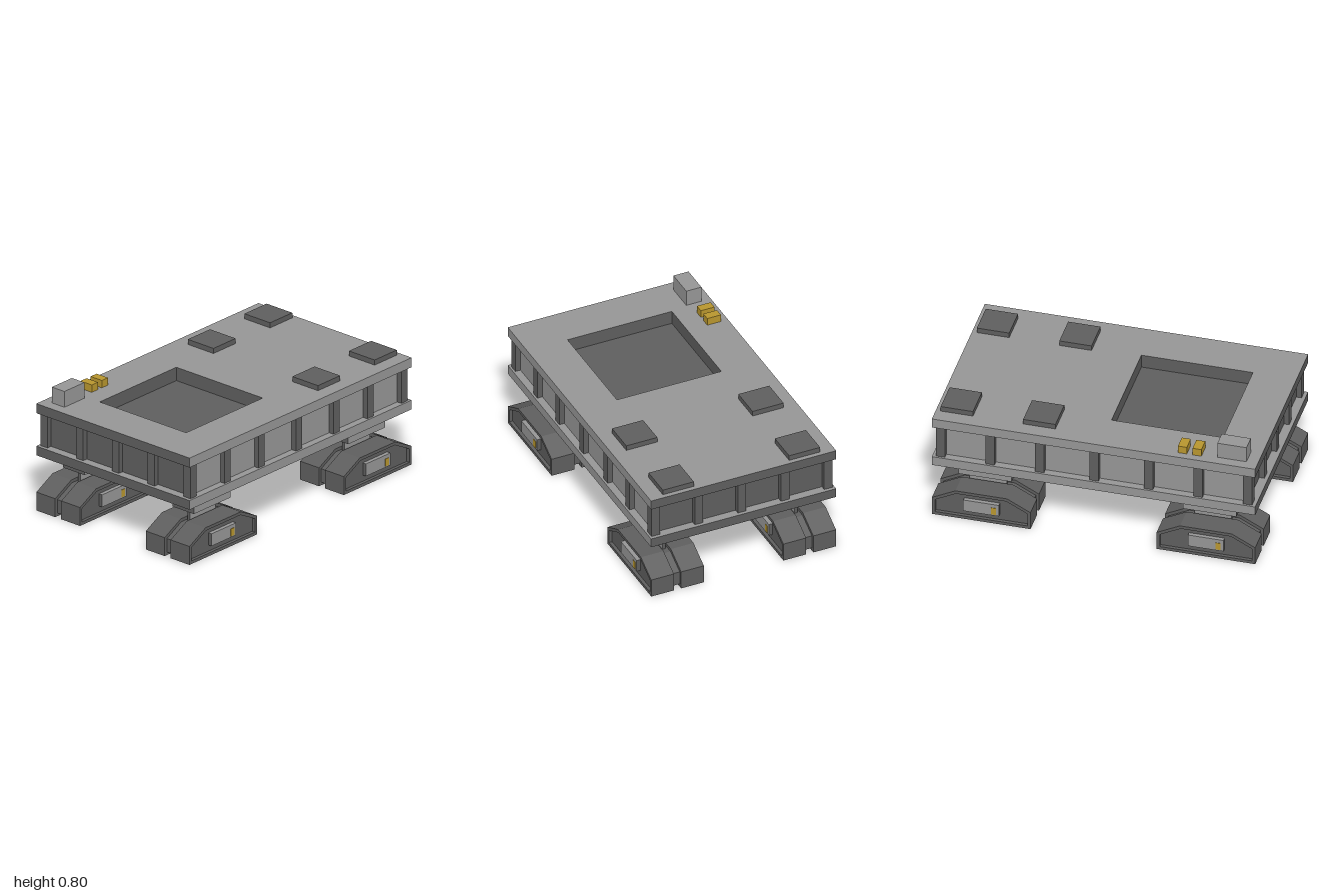
import * as THREE from 'three';

const grey = new THREE.MeshStandardMaterial({ color: 0x969696 });
grey.name = 'lightGrey';
const dark = new THREE.MeshStandardMaterial({ color: 0x5e5e5e });
dark.name = 'darkGrey';
const gold = new THREE.MeshStandardMaterial({ color: 0xb8962e });
gold.name = 'gold';

// light sides and top, dark underside and ends (+x, -x, +y, -y, +z, -z)
const hull = [grey, grey, grey, dark, dark, dark];

// box given by its limits on each axis
function box(parent, name, material, [x0, x1], [y0, y1], [z0, z1]) {
  const mesh = new THREE.Mesh(new THREE.BoxGeometry(x1 - x0, y1 - y0, z1 - z0), material);
  mesh.position.set((x0 + x1) / 2, (y0 + y1) / 2, (z0 + z1) / 2);
  mesh.name = name;
  parent.add(mesh);
  return mesh;
}

// slab with a rectangular pit opening, its inner walls dark
const PIT = { x: 0.345, z0: 0.04, z1: 0.73 };
function pitFrame(parent, name, halfX, halfZ, y) {
  const group = new THREE.Group();
  group.name = name;
  box(group, 'leftStrip', [grey, dark, grey, dark, dark, dark], [PIT.x, halfX], y, [-halfZ, halfZ]);
  box(group, 'rightStrip', [dark, grey, grey, dark, dark, dark], [-halfX, -PIT.x], y, [-halfZ, halfZ]);
  box(group, 'rearStrip', hull, [-PIT.x, PIT.x], y, [-halfZ, PIT.z0]);
  box(group, 'frontStrip', hull, [-PIT.x, PIT.x], y, [PIT.z1, halfZ]);
  parent.add(group);
}

// track outline: flat bottom, upright ends, sloping shoulders
function trackPoints(end, bottom, shoulder, flat, top) {
  return [[-end, bottom], [end, bottom], [end, shoulder], [flat, top], [-flat, top], [-end, shoulder]]
    .map(([x, y]) => new THREE.Vector2(x, y));
}
const outer = trackPoints(0.305, 0, 0.12, 0.16, 0.195);
const inner = trackPoints(0.285, 0.02, 0.108, 0.155, 0.175);

// extrudes a shape across x, centred on the given x
function across(shape, width, x) {
  const geometry = new THREE.ExtrudeGeometry(shape, { depth: width, bevelEnabled: false });
  geometry.rotateY(Math.PI / 2);
  geometry.translate(x - width / 2, 0, 0);
  return new THREE.Mesh(geometry, dark);
}

function makeTruck() {
  const truck = new THREE.Group();
  truck.name = 'crawlerTruck';

  // inset body that joins both tracks
  const body = across(new THREE.Shape(inner), 0.305, 0);
  body.name = 'truckBody';
  truck.add(body);

  for (const side of [1, -1]) {
    const half = new THREE.Group();
    half.name = side > 0 ? 'leftTrack' : 'rightTrack';
    const ring = new THREE.Shape(outer);
    ring.holes.push(new THREE.Path(inner));
    const belt = across(ring, 0.15, 0.099);
    belt.name = 'trackBelt';
    half.add(belt);
    // side housing with its gold marker
    box(half, 'sideHousing', hull, [0.15, 0.178], [0.06, 0.14], [-0.11, 0.11]);
    box(half, 'marker', gold, [0.177, 0.181], [0.068, 0.116], [-0.092, -0.062]);
    if (side < 0) half.rotation.y = Math.PI;
    truck.add(half);
  }

  // thin neck and jack block under the hull
  box(truck, 'neck', hull, [-0.01, 0.01], [0.17, 0.26], [-0.115, 0.115]);
  box(truck, 'jackBlock', hull, [-0.085, 0.085], [0.26, 0.36], [-0.165, 0.165]);
  return truck;
}

export function createModel() {
  const model = new THREE.Group();
  model.name = 'crawlerTransporter';

  // hull: lower slab, recessed core, upper deck with pit
  box(model, 'lowerSlab', hull, [-0.612, 0.612], [0.36, 0.42], [-1, 1]);
  const floorY = 0.61;
  box(model, 'core', [grey, grey, dark, dark, dark, dark],
    [-0.565, 0.565], [0.42, floorY], [-0.945, 0.945]);
  pitFrame(model, 'coreRim', 0.565, 0.945, [floorY, 0.635]);
  pitFrame(model, 'upperDeck', 0.612, 1, [0.635, 0.697]);

  // upright ribs round the core
  const rib = (x, z) => box(model, 'rib', dark,
    [x - 0.0275, x + 0.0275], [0.42, 0.635], [z - 0.0275, z + 0.0275]);
  for (const s of [1, -1]) {
    for (const z of [-0.95, -0.643, -0.337, 0, 0.337, 0.643, 0.95]) rib(s * 0.571, z);
    for (const x of [-0.285, 0, 0.285]) rib(x, s * 0.95);
  }

  // support pads on the rear deck
  for (const s of [1, -1]) {
    const x = s > 0 ? [0.315, 0.52] : [-0.52, -0.315];
    box(model, 'supportPad', dark, x, [0.697, 0.73], [-0.97, -0.77]);
    box(model, 'supportPad', dark, x, [0.697, 0.73], [-0.46, -0.26]);
  }

  // cabin and two gold deck units
  box(model, 'cabin', grey, [-0.55, -0.45], [0.697, 0.8], [0.75, 0.93]);
  box(model, 'deckUnit', gold, [-0.565, -0.475], [0.697, 0.745], [0.51, 0.565]);
  box(model, 'deckUnit', gold, [-0.565, -0.475], [0.697, 0.745], [0.6, 0.655]);

  // four crawler trucks
  for (const x of [-0.437, 0.437]) {
    for (const z of [-0.695, 0.695]) {
      const truck = makeTruck();
      truck.position.set(x, 0, z);
      model.add(truck);
    }
  }
  return model;
}
